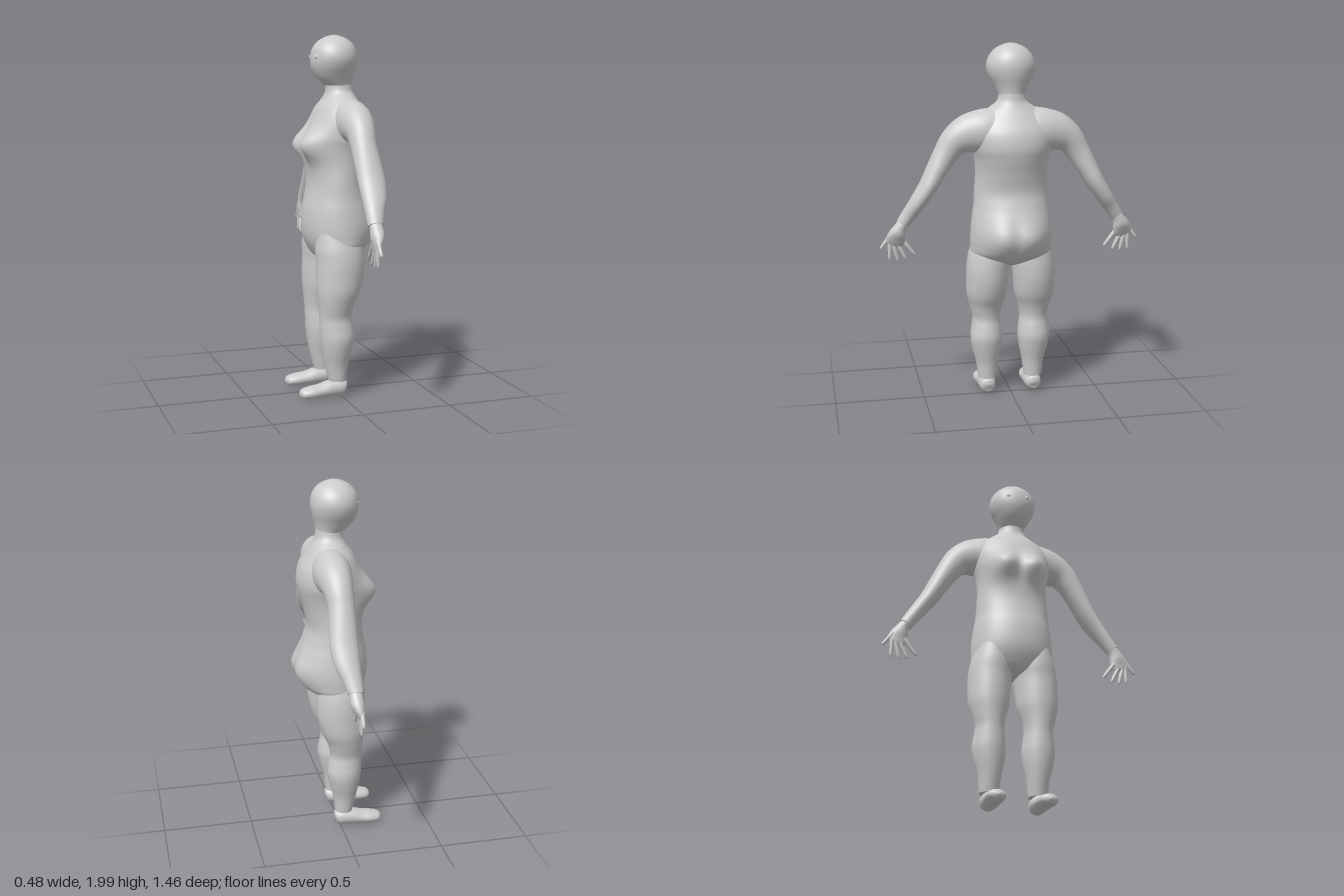
import * as THREE from 'three';

const material = new THREE.MeshStandardMaterial({ color: 0xcccccc, side: THREE.DoubleSide });

// Smooth tube through sections [x, y, z, radius along u, radius across]; warp(v) may move each vertex.
function loft(name, sections, u, { steps = 6, sides = 32, warp } = {}) {
  const centres = new THREE.CatmullRomCurve3(sections.map(s => new THREE.Vector3(s[0], s[1], s[2])), false, 'catmullrom');
  const radii = new THREE.CatmullRomCurve3(sections.map(s => new THREE.Vector3(s[3], s[4], 0)), false, 'catmullrom');
  const rows = (sections.length - 1) * steps;
  const positions = [], index = [];
  const push = v => { if (warp) warp(v); positions.push(v.x, v.y, v.z); };
  for (let i = 0; i <= rows; i++) {
    const t = i / rows;
    const c = centres.getPoint(t), r = radii.getPoint(t);
    const across = centres.getTangent(t).cross(u).normalize();
    for (let j = 0; j < sides; j++) {
      const a = (j / sides) * Math.PI * 2;
      push(c.clone().addScaledVector(u, r.x * Math.cos(a)).addScaledVector(across, r.y * Math.sin(a)));
    }
  }
  for (let i = 0; i < rows; i++) {
    for (let j = 0; j < sides; j++) {
      const a = i * sides + j, b = i * sides + (j + 1) % sides;
      index.push(a, b, a + sides, b, b + sides, a + sides);
    }
  }
  // End caps on their own vertices, so that the rims stay crisp
  for (const [row, t] of [[0, 0], [rows, 1]]) {
    const first = positions.length / 3;
    positions.push(...positions.slice(row * sides * 3, (row + 1) * sides * 3));
    push(centres.getPoint(t));
    for (let j = 0; j < sides; j++) {
      const a = first + j, b = first + (j + 1) % sides;
      index.push(...(row ? [a, b, first + sides] : [b, a, first + sides]));
    }
  }
  const geometry = new THREE.BufferGeometry();
  geometry.setAttribute('position', new THREE.Float32BufferAttribute(positions, 3));
  geometry.setIndex(index);
  geometry.computeVertexNormals();
  const mesh = new THREE.Mesh(geometry, material);
  mesh.name = name;
  return mesh;
}

const X = new THREE.Vector3(1, 0, 0);
const Z = new THREE.Vector3(0, 0, 1);

// Horizontal slice from height, front x, back x, half width and sideways offset
const slice = ([y, front, back, half, z = 0]) => [(front + back) / 2, y, z, (back - front) / 2, half];

// Soft swelling centred at a height and on both sides of the middle
const bump = (v, y, z, sy, sz) =>
  Math.exp(-(((v.y - y) / sy) ** 2)) * Math.exp(-(((Math.abs(v.z) - z) / sz) ** 2));

export function createModel() {
  const model = new THREE.Group();
  model.name = 'figure';

  // Torso and neck, with chest and seat swelling out of it
  const torso = [
    [0.765, -0.04, 0.03, 0.04], [0.79, -0.11, 0.09, 0.15], [0.84, -0.145, 0.165, 0.22],
    [0.9, -0.168, 0.2, 0.229], [0.97, -0.175, 0.212, 0.228], [1.05, -0.17, 0.198, 0.22],
    [1.12, -0.156, 0.178, 0.21], [1.2, -0.145, 0.16, 0.205], [1.3, -0.148, 0.178, 0.2],
    [1.38, -0.15, 0.2, 0.207], [1.45, -0.142, 0.213, 0.225], [1.53, -0.122, 0.2, 0.23],
    [1.6, -0.095, 0.162, 0.195], [1.65, -0.06, 0.132, 0.135], [1.69, -0.042, 0.113, 0.083],
    [1.74, -0.04, 0.106, 0.069],
  ];
  model.add(loft('torso', torso.map(slice), X, {
    sides: 64,
    warp: v => {
      if (v.x < 0) v.x -= 0.075 * bump(v, 1.405, 0.09, 0.085, 0.08) * Math.min(1, -v.x / 0.08);
      else v.x += 0.035 * bump(v, 0.95, 0.08, 0.1, 0.085) * Math.min(1, v.x / 0.1);
    },
  }));

  // Head
  const head = [
    [1.725, -0.042, 0.106, 0.071], [1.745, -0.068, 0.108, 0.08], [1.78, -0.1, 0.115, 0.098],
    [1.83, -0.122, 0.128, 0.124], [1.88, -0.125, 0.133, 0.134], [1.93, -0.112, 0.122, 0.119],
    [1.97, -0.078, 0.09, 0.083], [1.992, -0.034, 0.046, 0.04], [2.0, 0.002, 0.01, 0.004],
  ];
  model.add(loft('head', head.map(slice), X, { sides: 48 }));

  // Foot cross-sections run from heel to toe
  const foot = [
    [0.03, 0.048, 0.133, 0.004, 0.004], [0.024, 0.05, 0.133, 0.032, 0.034], [0, 0.055, 0.133, 0.046, 0.046],
    [-0.06, 0.054, 0.133, 0.05, 0.046], [-0.12, 0.045, 0.135, 0.051, 0.038], [-0.18, 0.04, 0.138, 0.052, 0.034],
    [-0.225, 0.036, 0.139, 0.039, 0.026], [-0.242, 0.034, 0.139, 0.004, 0.004],
  ];
  const leg = [
    [0.93, -0.13, 0.12, 0.09, 0.122], [0.84, -0.14, 0.13, 0.114, 0.122], [0.76, -0.136, 0.133, 0.119, 0.13],
    [0.68, -0.137, 0.126, 0.117, 0.134], [0.6, -0.135, 0.105, 0.112, 0.137], [0.53, -0.128, 0.073, 0.094, 0.138],
    [0.46, -0.122, 0.058, 0.079, 0.136], [0.4, -0.12, 0.068, 0.085, 0.136], [0.34, -0.117, 0.074, 0.091, 0.137],
    [0.27, -0.108, 0.06, 0.081, 0.135], [0.19, -0.092, 0.04, 0.063, 0.133], [0.098, -0.07, 0.029, 0.052, 0.133],
  ];
  const arm = [
    [0.05, 1.535, 0.07, 0.1, 0.125], [0.052, 1.532, 0.16, 0.105, 0.12], [0.052, 1.518, 0.245, 0.092, 0.106],
    [0.05, 1.482, 0.312, 0.078, 0.084], [0.046, 1.415, 0.364, 0.071, 0.068], [0.05, 1.325, 0.417, 0.073, 0.058],
    [0.054, 1.237, 0.466, 0.075, 0.051], [0.048, 1.15, 0.523, 0.066, 0.045], [0.033, 1.085, 0.567, 0.051, 0.04],
    [0.024, 1.03, 0.603, 0.042, 0.037],
  ];
  const palm = [
    [0.024, 1.045, 0.595, 0.034, 0.03], [0.024, 1.01, 0.617, 0.036, 0.034], [0.022, 0.975, 0.633, 0.036, 0.046],
    [0.016, 0.94, 0.644, 0.024, 0.053], [0.01, 0.912, 0.652, 0.013, 0.045], [0.008, 0.898, 0.655, 0.003, 0.022],
  ];
  // Finger bases and tips as [y, z]
  const fingers = [
    [[0.965, 0.67], [0.888, 0.729]], [[0.925, 0.675], [0.823, 0.678]], [[0.92, 0.658], [0.815, 0.631]],
    [[0.92, 0.635], [0.823, 0.587]], [[0.94, 0.61], [0.845, 0.536]],
  ];

  // Limbs, mirrored to both sides
  for (const side of [1, -1]) {
    const label = side > 0 ? 'left' : 'right';
    const mirror = list => list.map(([x, y, z, a, b]) => [x, y, z * side, a, b]);
    model.add(loft(label + 'Leg', mirror(leg.map(slice)), X));
    model.add(loft(label + 'Foot', mirror(foot), Z));
    model.add(loft(label + 'Arm', mirror(arm), X));

    const hand = new THREE.Group();
    hand.name = label + 'Hand';
    hand.add(loft('palm', mirror(palm), X));
    for (const [[y0, z0], [y1, z1]] of fingers) {
      const along = (t, r) => [0.009, y0 + (y1 - y0) * t, z0 + (z1 - z0) * t, r, r];
      hand.add(loft('finger', mirror([along(0, 0.013), along(0.5, 0.011), along(0.9, 0.008), along(1, 0.001)]), X,
        { steps: 4, sides: 12 }));
    }
    model.add(hand);

    // Small raised eye
    const eye = new THREE.Mesh(new THREE.SphereGeometry(0.014, 16, 12), material);
    eye.name = label + 'Eye';
    eye.position.set(-0.106, 1.88, 0.052 * side);
    model.add(eye);
  }
  return model;
}
